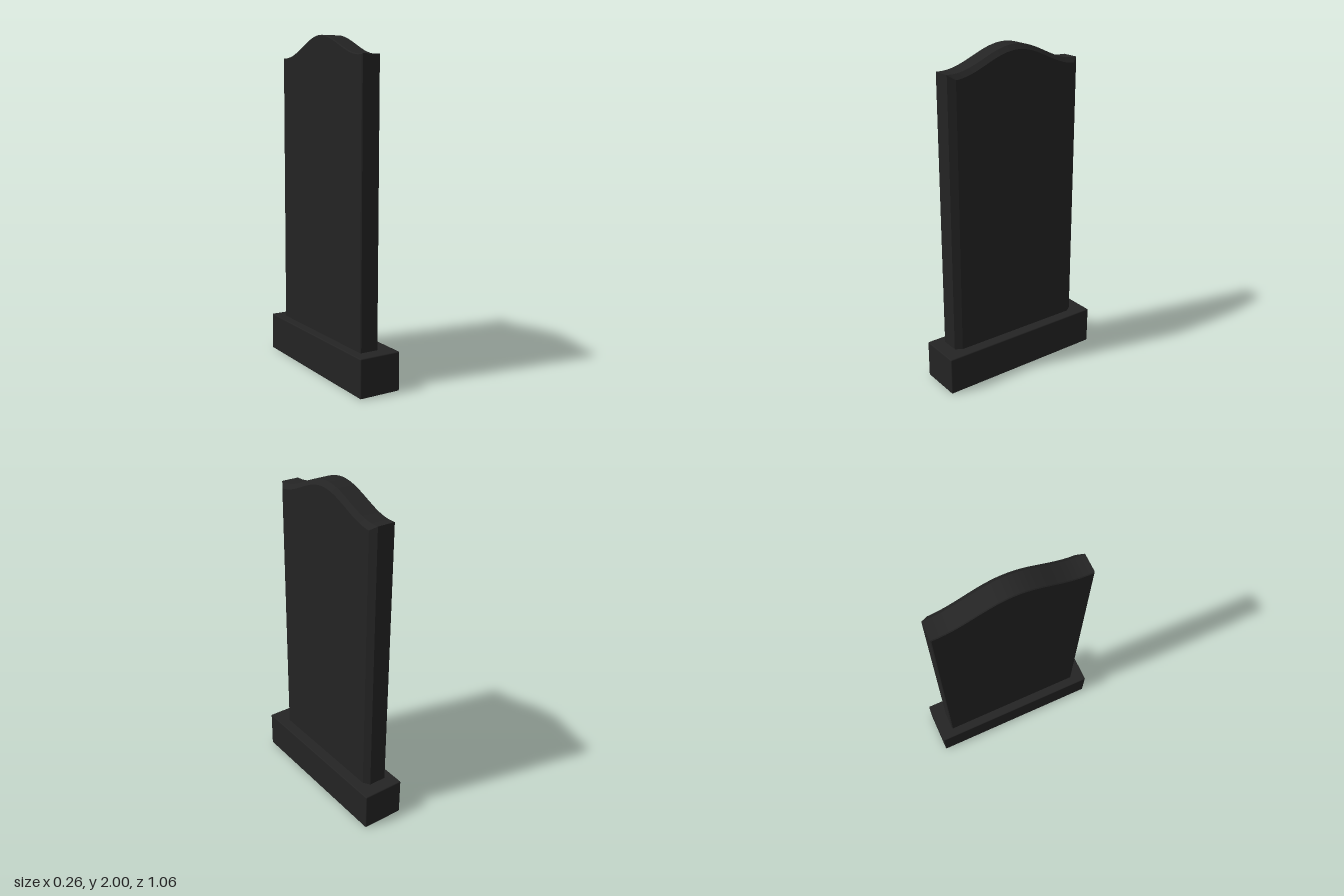
import * as THREE from 'three';
import { toCreasedNormals } from 'three/addons/utils/BufferGeometryUtils.js';
import { RoundedBoxGeometry } from 'three/addons/geometries/RoundedBoxGeometry.js';

const HALF = 0.445, BOTTOM = 0.2, COLS = 48;

// Cross-sections of the slab along x: small bevel behind, wide bevel in front
const SECTIONS = [
  { x: -0.077, side: 0.005, top: 0.005 },
  { x: -0.072, side: 0, top: 0 },
  { x: 0.037, side: 0, top: 0 },
  { x: 0.063, side: 0.04, top: 0.028 },
];

// Wavy crest that flattens out at both shoulders
function crest(z) {
  const t = Math.min(Math.abs(z) / 0.42, 1);
  return 1.88 + 0.06 * (1 + Math.cos(Math.PI * t));
}

function slabGeometry() {
  const pos = [];
  const quad = (a, b, c, d) => pos.push(...a, ...b, ...c, ...a, ...c, ...d);
  const zAt = (s, i) => (HALF - s.side) * (2 * i / COLS - 1);
  const top = (s, i) => [s.x, crest(zAt(s, i)) - s.top, zAt(s, i)];
  const low = (s, i) => [s.x, BOTTOM, zAt(s, i)];
  const back = SECTIONS[0], face = SECTIONS[SECTIONS.length - 1];

  for (let i = 0; i < COLS; i++) {
    // Broad faces
    quad(low(face, i + 1), low(face, i), top(face, i), top(face, i + 1));
    quad(low(back, i), low(back, i + 1), top(back, i + 1), top(back, i));
    // Crest and underside
    for (let k = 0; k < SECTIONS.length - 1; k++) {
      const a = SECTIONS[k], b = SECTIONS[k + 1];
      quad(top(a, i), top(a, i + 1), top(b, i + 1), top(b, i));
      quad(low(a, i), low(b, i), low(b, i + 1), low(a, i + 1));
    }
  }
  // Narrow ends
  for (let k = 0; k < SECTIONS.length - 1; k++) {
    const a = SECTIONS[k], b = SECTIONS[k + 1];
    quad(low(a, COLS), low(b, COLS), top(b, COLS), top(a, COLS));
    quad(low(b, 0), low(a, 0), top(a, 0), top(b, 0));
  }
  const geo = new THREE.BufferGeometry();
  geo.setAttribute('position', new THREE.Float32BufferAttribute(pos, 3));
  return toCreasedNormals(geo, 0.3);
}

export function createModel() {
  const group = new THREE.Group();
  group.name = 'headstone';
  const granite = new THREE.MeshStandardMaterial({ color: 0x242424 });
  granite.name = 'black granite';

  // Plinth with slightly softened edges
  const plinth = new THREE.Mesh(new RoundedBoxGeometry(0.262, 0.23, 1.06, 2, 0.006), granite);
  plinth.name = 'plinth';
  plinth.position.y = 0.115;

  // Upright slab
  const slab = new THREE.Mesh(slabGeometry(), granite);
  slab.name = 'slab';

  group.add(plinth, slab);
  return group;
}
